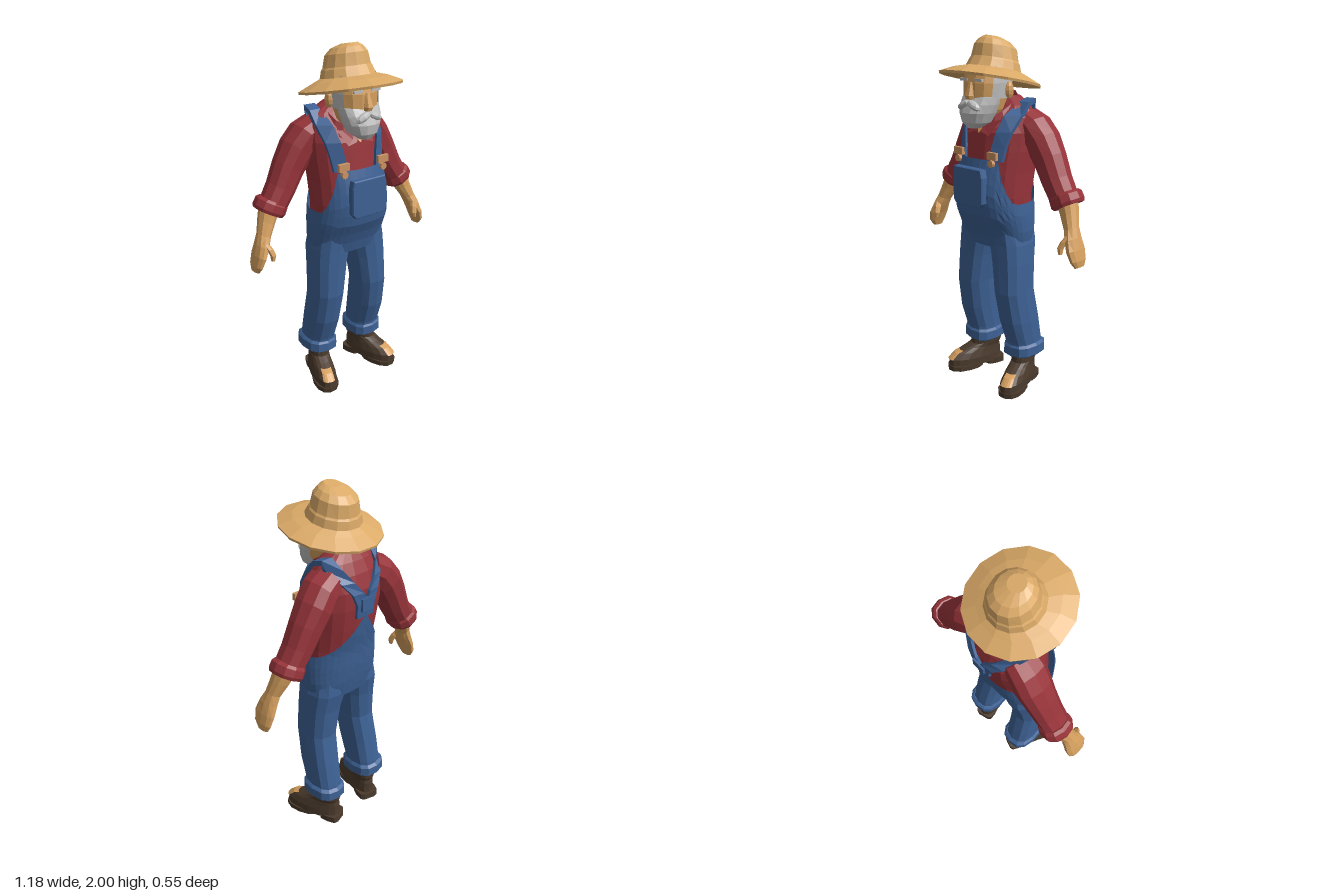
import * as THREE from 'three';

const V = (x, y, z) => new THREE.Vector3(x, y, z);
const lerp = THREE.MathUtils.lerp;
const mat = (name, color) => new THREE.MeshStandardMaterial({ name, color, flatShading: true, side: THREE.DoubleSide });

// Skin a grid of points; neighbouring rows are joined by quads
function sheet(rows) {
  const pos = [];
  const tri = (a, b, c) => {
    if (a.distanceTo(b) < 1e-6 || b.distanceTo(c) < 1e-6 || a.distanceTo(c) < 1e-6) return;
    for (const p of [a, b, c]) pos.push(p.x, p.y, p.z);
  };
  for (let i = 0; i < rows.length - 1; i++) {
    for (let j = 0; j < rows[i].length - 1; j++) {
      tri(rows[i][j], rows[i + 1][j], rows[i + 1][j + 1]);
      tri(rows[i][j], rows[i + 1][j + 1], rows[i][j + 1]);
    }
  }
  const g = new THREE.BufferGeometry();
  g.setAttribute('position', new THREE.Float32BufferAttribute(pos, 3));
  g.computeVertexNormals();
  return g;
}

// Rounded cross-sections [x, y, z, rx, rz, tilt], listed from the bottom up
function loft(sections, { n = 12, power = 2.3, from = 0, to = 360, grow = 0 } = {}) {
  const whole = to - from === 360;
  const rows = sections.map(([x, y, z, rx, rz, tilt = 0]) => {
    const row = [];
    for (let j = 0; j <= n; j++) {
      const a = (from + (to - from) * (j % n === 0 && whole ? 0 : j / n)) * Math.PI / 180;
      const c = Math.cos(a), s = Math.sin(a);
      const u = Math.sign(c) * Math.abs(c) ** (2 / power) * (rx + grow);
      const v = Math.sign(s) * Math.abs(s) ** (2 / power) * (rz + grow);
      row.push(V(x + u * Math.cos(tilt), y + u * Math.sin(tilt), z + v));
    }
    return row;
  });
  if (whole) {
    const cap = ([x, y, z]) => Array.from({ length: n + 1 }, () => V(x, y, z));
    rows.unshift(cap(sections[0]));
    rows.push(cap(sections[sections.length - 1]));
  }
  return sheet(rows);
}

// Slope a shape along z
function shear(g, k) {
  const p = g.attributes.position;
  for (let i = 0; i < p.count; i++) p.setY(i, p.getY(i) + k * p.getZ(i));
  g.computeVertexNormals();
  return g;
}

function mirrored(geo) {
  const g = geo.index ? geo.toNonIndexed() : geo.clone();
  const p = g.attributes.position, a = V(), b = V();
  for (let i = 0; i < p.count; i += 3) {
    a.fromBufferAttribute(p, i + 1); b.fromBufferAttribute(p, i + 2);
    p.setXYZ(i, -p.getX(i), p.getY(i), p.getZ(i));
    p.setXYZ(i + 1, -b.x, b.y, b.z);
    p.setXYZ(i + 2, -a.x, a.y, a.z);
  }
  g.computeVertexNormals();
  return g;
}

// Body profiles: [y, half width, front z, back z]
const SHIRT = [[1.02, .205, .09, -.2], [1.15, .208, .12, -.21], [1.28, .212, .115, -.235], [1.4, .222, .098, -.25],
  [1.5, .225, .085, -.25], [1.58, .215, .045, -.225], [1.64, .175, -.01, -.195], [1.685, .1, -.04, -.165]];
const OVERALLS = [[.86, .222, .075, -.185], [.95, .236, .1, -.205], [1.05, .236, .15, -.218], [1.15, .226, .17, -.224],
  [1.25, .222, .16, -.245], [1.37, .226, .128, -.262]];
function profileAt(table, y) {
  let i = 0;
  while (i < table.length - 2 && y > table[i + 1][0]) i++;
  const a = table[i], b = table[i + 1];
  const t = THREE.MathUtils.clamp((y - a[0]) / (b[0] - a[0]), 0, 1);
  const [rx, zf, zb] = [1, 2, 3].map(k => lerp(a[k], b[k], t));
  return { rx, cz: (zf + zb) / 2, rz: (zf - zb) / 2 };
}
function shirtZ(x, y, side) {
  const { rx, cz, rz } = profileAt(SHIRT, y);
  return cz + side * rz * Math.max(0, 1 - Math.abs(x / rx) ** 2.3) ** (1 / 2.3);
}

// Denim shell from crotch to a top edge that rises into bib and back panel
function overallsShell() {
  const n = 36, steps = 8, rows = [[]];
  for (let j = 0; j <= n; j++) rows[0].push(V(0, .885, -.05));
  for (let i = 0; i <= steps; i++) {
    const row = [];
    for (let j = 0; j <= n; j++) {
      const a = (j % n) / n * Math.PI * 2, s = Math.sin(a);
      const c = Math.sign(Math.cos(a)) * Math.abs(Math.cos(a)) ** (2 / 2.3), k = Math.abs(c);
      const top = s > 0 ? lerp(1.36, 1.12, THREE.MathUtils.clamp((k - .66) / .3, 0, 1)) : 1.12 + .25 * (1 - k) ** 1.3;
      const y = lerp(.86, top, i / steps), { rx, cz, rz } = profileAt(OVERALLS, y);
      row.push(V(c * rx, y, cz + Math.sign(s) * Math.abs(s) ** (2 / 2.3) * rz));
    }
    rows.push(row);
  }
  return sheet(rows);
}

// Strap over one shoulder: [x, y, z or null to lie on the shirt, normal y, normal z]
function strap() {
  const path = [[.125, 1.35, null, 0, 1], [.135, 1.42, null, .1, 1], [.152, 1.5, null, .4, .9], [.168, 1.58, null, .7, .7],
    [.17, 1.645, -.085, .9, .4], [.165, 1.66, -.14, 1, -.1], [.15, 1.61, null, .6, -.8], [.105, 1.55, null, .2, -1],
    [.055, 1.49, null, 0, -1], [.03, 1.43, null, 0, -1], [.025, 1.35, null, 0, -1]];
  return sheet(path.map(([x, y, z, ny, nz]) => {
    const corner = (w, t) => V(x + w, y + ny * t, (z ?? shirtZ(x + w, y, Math.sign(nz))) + nz * t);
    return [corner(.034, .016), corner(-.034, .016), corner(-.034, -.01), corner(.034, -.01), corner(.034, .016)];
  }));
}

export function createModel() {
  const model = new THREE.Group();
  model.name = 'farmer';
  const straw = mat('straw', 0xdaa967), skin = mat('skin', 0xd6a05f), red = mat('red cloth', 0x97343a);
  const denim = mat('denim', 0x3d6194), leather = mat('brown leather', 0x4a3a2c);
  const grey = mat('grey hair', 0xbfbebe), brass = mat('brass', 0xcc9462);
  const add = (name, geo, m) => {
    const mesh = new THREE.Mesh(geo, m);
    mesh.name = name;
    model.add(mesh);
  };
  const pair = (name, geo, m) => {
    add(name + 'Left', geo, m);
    add(name + 'Right', mirrored(geo), m);
  };
  const box = (w, h, d, x, y, z) => new THREE.BoxGeometry(w, h, d).translate(x, y, z);
  const blob = (sx, sy, sz, x, y, z, roll = 0) =>
    new THREE.SphereGeometry(1, 8, 6).scale(sx, sy, sz).rotateZ(roll).translate(x, y, z);

  // Straw hat, tipped back
  add('hat', shear(loft([[0, 1.8, 0, .13, .14], [0, 1.762, .005, .272, .272], [0, 1.775, .005, .275, .275],
    [0, 1.81, 0, .2, .2], [0, 1.828, -.02, .148, .15], [0, 1.87, -.03, .136, .134], [0, 1.88, -.03, .128, .128],
    [0, 1.945, -.035, .112, .118], [0, 1.975, -.03, .085, .09], [0, 1.994, -.01, .045, .045]], { n: 14, power: 2 }), .2), straw);

  // Head
  const skull = [[0, 1.57, .055, .07, .08], [0, 1.62, .05, .1, .1], [0, 1.68, .038, .114, .113],
    [0, 1.76, .028, .12, .124], [0, 1.85, .01, .115, .12]];
  add('head', loft(skull, { n: 14 }), skin);
  add('neck', loft([[0, 1.5, -.035, .09, .1], [0, 1.6, -.02, .085, .085], [0, 1.68, -.005, .085, .08]]), skin);
  add('hair', loft(skull.slice(2), { n: 14, from: 152, to: 388, grow: .007 }), grey);
  add('nose', loft([[0, 1.675, .15, .024, .022], [0, 1.695, .155, .027, .025], [0, 1.765, .146, .014, .01]], { n: 6 }), skin);
  pair('ear', blob(.02, .046, .027, .13, 1.722, -.008), skin);
  pair('brow', box(.055, .014, .012, .055, 1.775, .142), grey);
  add('beard', loft([[0, 1.525, .125, .035, .035], [0, 1.555, .105, .078, .075], [0, 1.605, .095, .102, .092],
    [0, 1.65, .08, .115, .09], [0, 1.69, .062, .12, .084]], { n: 14 }), grey);
  pair('moustache', blob(.05, .022, .03, .036, 1.645, .158, -.45), grey);

  // Shirt
  add('shirt', loft(SHIRT.map(([y, rx, f, b]) => [0, y, (f + b) / 2, rx, (f - b) / 2]), { n: 18 }), red);
  add('collar', shear(loft([[0, 1.565, -.035, .145, .128], [0, 1.625, -.035, .118, .108], [0, 1.6, -.035, .1, .09]],
    { n: 14, from: 106, to: 434 }), -.62), red);
  const patch = (pts, off) => sheet([[0, 1], [3, 2]].map(r => r.map(i => V(...pts[i], shirtZ(...pts[i], 1) + off))));
  pair('collarFlap', patch([[.012, 1.545], [.03, 1.5], [.08, 1.485], [.125, 1.57]], .016), red);
  add('openNeck', patch([[-.035, 1.56], [-.005, 1.495], [.005, 1.495], [.035, 1.56]], .008), skin);
  pair('sleeve', loft([[.42, 1.17, -.13, .072, .08, .49], [.365, 1.255, -.135, .077, .084, .5],
    [.31, 1.36, -.14, .086, .09, .55], [.255, 1.45, -.14, .092, .1, .65], [.2, 1.52, -.13, .09, .102, .8],
    [.13, 1.56, -.12, .08, .095, 1]], { n: 10 }), red);
  pair('sleeveCuff', loft([[.452, 1.13, -.135, .08, .084, .49], [.443, 1.145, -.135, .088, .092, .49],
    [.425, 1.18, -.135, .086, .09, .49], [.415, 1.192, -.135, .074, .08, .49]], { n: 10 }), red);

  // Forearms and hands
  pair('forearmAndHand', loft([[.574, .83, -.085, .014, .035, .3], [.568, .865, -.08, .021, .058, .3],
    [.55, .92, -.078, .027, .068, .3], [.527, .975, -.083, .033, .058, .35], [.505, 1.025, -.095, .036, .045, .4],
    [.475, 1.09, -.115, .046, .052, .45], [.445, 1.16, -.13, .055, .06, .49]], { n: 10 }), skin);
  pair('thumb', loft([[.5, .9, -.015, .01, .012], [.497, .93, -.018, .016, .018], [.508, .965, -.035, .018, .022],
    [.525, 1, -.06, .016, .022]], { n: 7 }), skin);

  // Overalls
  add('overalls', overallsShell(), denim);
  pair('trouserLeg', loft([[.165, .21, -.112, .088, .105], [.165, .28, -.106, .087, .108], [.162, .42, -.07, .09, .12],
    [.152, .6, -.037, .093, .117], [.136, .77, -.045, .104, .122], [.12, .88, -.055, .113, .132],
    [.112, .98, -.05, .1, .13]], { n: 12, power: 2.5 }), denim);
  pair('trouserCuff', loft([[.167, .192, -.114, .095, .112, .06], [.167, .2, -.114, .103, .123, .06],
    [.167, .252, -.114, .102, .122, .06], [.165, .266, -.11, .09, .108, .06]], { n: 12, power: 2.6 }), denim);
  pair('strap', strap(), denim);
  add('strapJoint', box(.08, .07, .02, 0, 1.425, -.264), denim);
  const pocket = new THREE.Shape([[-.1, 1.31], [-.11, 1.27], [-.108, 1.13], [-.09, 1.108], [.09, 1.108], [.108, 1.13],
    [.11, 1.27], [.1, 1.31]].reverse().map(p => new THREE.Vector2(...p)));
  add('bibPocket', new THREE.ExtrudeGeometry(pocket, { depth: .03, bevelSize: .005, bevelThickness: .007, bevelSegments: 1 })
    .translate(0, 0, .145), denim);
  pair('buckle', box(.068, .04, .02, .13, 1.385, .118), brass);
  pair('buckleButton', new THREE.CylinderGeometry(.02, .02, .02, 8).rotateX(Math.PI / 2).translate(.128, 1.345, .124), brass);

  // Boots turned outward, toes showing through
  const boot = [[0, .025, 0, .07, .178], [0, .07, 0, .069, .173], [0, .105, -.02, .062, .152], [0, .13, -.05, .058, .115],
    [0, .15, -.077, .06, .098], [0, .23, -.082, .066, .093]];
  const place = g => g.rotateY(.3).translate(.185, 0, -.042);
  pair('boot', place(loft(boot, { n: 16 })), leather);
  pair('sole', place(loft([[0, 0, .065, .072, .115], [0, .03, .065, .073, .116]], { n: 12 })), leather);
  pair('heel', place(loft([[0, 0, -.125, .062, .062], [0, .04, -.125, .064, .06]], { n: 10, power: 4 })), leather);
  pair('bareToe', place(loft([boot[1], boot[2], [0, .117, -.035, .06, .132]], { n: 5, from: 62, to: 112, grow: .005 })), skin);
  return model;
}
